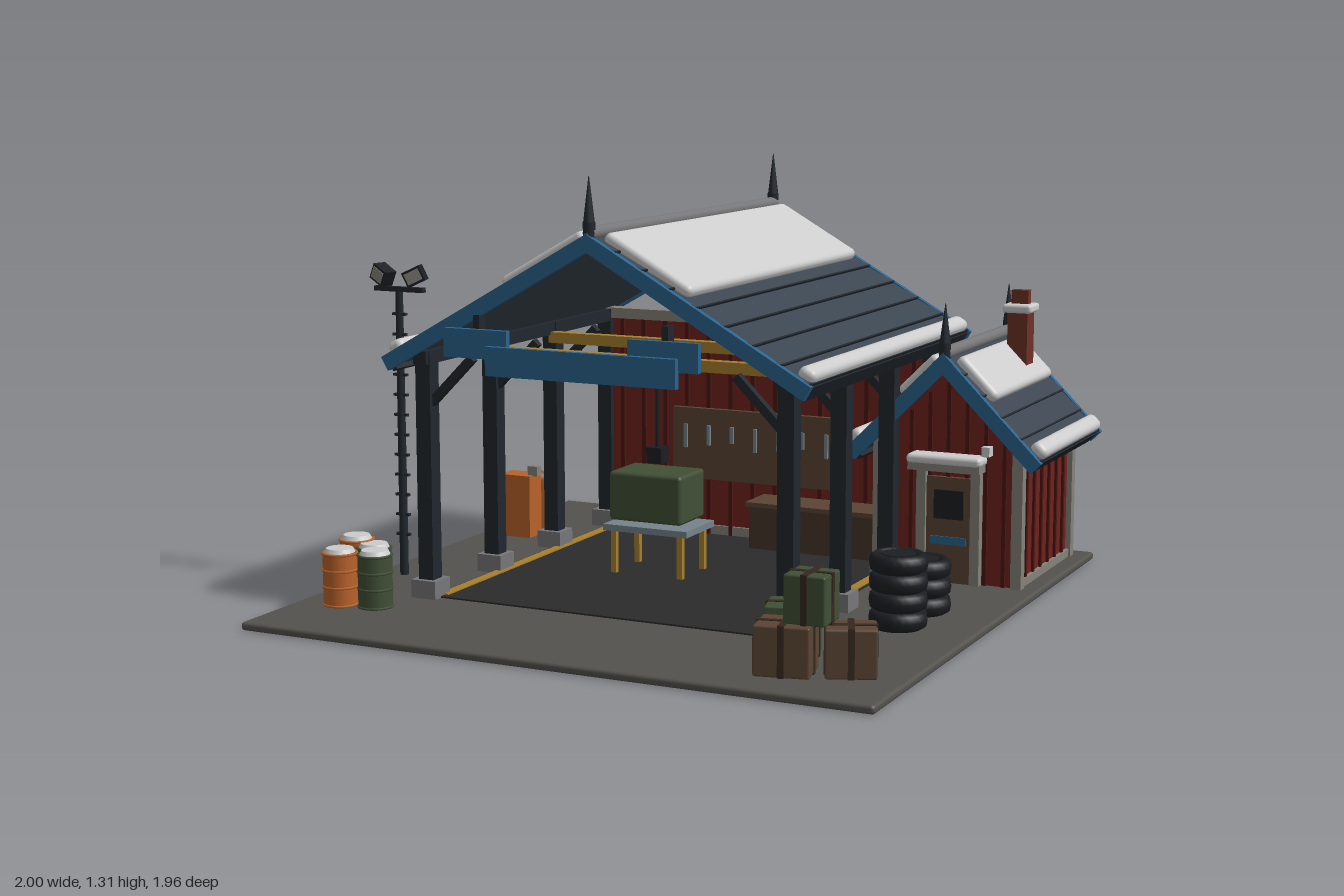
import * as THREE from 'three';
import { RoundedBoxGeometry } from 'three/addons/geometries/RoundedBoxGeometry.js';

const cache = {};
const mat = (c) => (cache[c] ??= new THREE.MeshStandardMaterial({ color: c, side: THREE.DoubleSide }));
const C = {
  snow: 0xcccccc, red: 0x6e211c, roof: 0x3c4650, blue: 0x2b648f, ground: 0x54524d, floor: 0x2b2b2c,
  orange: 0xb9622a, green: 0x414f36, brown: 0x5a4433, yellow: 0xa8802c, trim: 0x85827a, dark: 0x20272d,
  black: 0x1b1e22, brick: 0x6e3228, stone: 0x77777a, steel: 0x75838c,
};

function add(parent, name, geo, color, x = 0, y = 0, z = 0, ry = 0, rz = 0) {
  const m = new THREE.Mesh(geo, mat(color));
  m.name = name;
  m.position.set(x, y, z);
  m.rotation.set(0, ry, rz);
  parent.add(m);
  return m;
}
const group = (parent, name, x = 0, y = 0, z = 0) => {
  const g = new THREE.Group();
  g.name = name;
  g.position.set(x, y, z);
  parent.add(g);
  return g;
};
// Box given by its minimum and maximum corners
const span = (p, name, c, x0, x1, y0, y1, z0, z1) =>
  add(p, name, new THREE.BoxGeometry(x1 - x0, y1 - y0, z1 - z0), c, (x0 + x1) / 2, (y0 + y1) / 2, (z0 + z1) / 2);
const cyl = (p, name, c, r0, r1, h, x, y, z, n = 16) =>
  add(p, name, new THREE.CylinderGeometry(r1, r0, h, n), c, x, y + h / 2, z);
// Square bar between two points in a plane of constant z
const bar = (p, name, c, x0, y0, x1, y1, z, t, d = t) =>
  add(p, name, new THREE.BoxGeometry(Math.hypot(x1 - x0, y1 - y0), t, d), c,
    (x0 + x1) / 2, (y0 + y1) / 2, z, 0, Math.atan2(y1 - y0, x1 - x0));

// Pitched roof with laps, snow, barge boards, ridge and finials
function roof(parent, name, cx, ridge, half, drop, z0, z1, laps, snowEnd, finialH) {
  const g = group(parent, name, cx, ridge, (z0 + z1) / 2);
  const L = Math.hypot(half, drop), W = z1 - z0, a = Math.atan2(drop, half);
  for (const s of [1, -1]) {
    const side = group(g, s > 0 ? 'leftSlope' : 'rightSlope');
    side.rotation.set(0, s > 0 ? 0 : Math.PI, -a);
    span(side, 'roofDeck', C.roof, 0, L, -0.03, -0.005, -W / 2 + 0.015, W / 2 - 0.015);
    for (let i = 0; i < laps; i++) {
      const lap = add(side, 'roofLap', new THREE.BoxGeometry(L / laps, 0.012, W - 0.03), C.roof,
        (i + 0.5) * L / laps, -0.001, 0, 0, 0.06);
      lap.name = 'roofLap' + i;
      span(side, 'lapSeam', C.dark, (i + 0.94) * L / laps, (i + 1) * L / laps, -0.008, 0.009, -W / 2 + 0.015, W / 2 - 0.015);
    }
    const s0 = 0.03, s1 = snowEnd;
    add(side, 'snowBlanket', new RoundedBoxGeometry(s1 - s0, 0.04, W - 0.09, 3, 0.018), C.snow, (s0 + s1) / 2, 0.015, 0);
    add(side, 'eaveSnow', new RoundedBoxGeometry(0.055, 0.045, W - 0.06, 3, 0.02), C.snow, L - 0.03, 0.015, 0);
    for (const e of [-1, 1])
      add(side, 'bargeBoard', new THREE.BoxGeometry(L + 0.015, 0.045, 0.02), C.blue, L / 2, -0.016, e * (W / 2 - 0.01));
    span(side, 'eaveBoard', C.dark, L - 0.012, L + 0.004, -0.045, 0, -W / 2 + 0.02, W / 2 - 0.02);
  }
  const cap = add(g, 'ridgeCap', new THREE.CylinderGeometry(0.02, 0.02, W - 0.04, 12), C.stone, 0, 0.008, 0);
  cap.rotation.x = Math.PI / 2;
  for (const e of [-1, 1]) {
    cyl(g, 'finialBase', C.dark, 0.018, 0.018, 0.05, 0, -0.01, e * (W / 2 - 0.022), 10);
    cyl(g, 'finialSpike', C.dark, 0.018, 0.001, finialH, 0, 0.03, e * (W / 2 - 0.022), 10);
  }
}

function workshop(root) {
  const g = group(root, 'workshop');
  span(g, 'workshopFloor', C.floor, -0.66, 0.47, 0.02, 0.03, -0.68, 0.48);
  for (const x of [-0.635, 0.45]) span(g, 'floorStripe', C.yellow, x - 0.015, x + 0.015, 0.025, 0.034, -0.66, 0.46);
  for (const x of [-0.675, 0.5]) {
    for (const z of [0.47, 0.085, -0.3, -0.68]) {
      span(g, 'post', C.dark, x - 0.025, x + 0.025, 0.03, 0.775, z - 0.025, z + 0.025);
      span(g, 'postFoot', C.stone, x - 0.042, x + 0.042, 0.02, 0.08, z - 0.042, z + 0.042);
      const s = x < 0 ? 1 : -1;
      if (z > -0.6) bar(g, 'kneeBrace', C.dark, x, 0.6, x + s * 0.16, 0.76, z, 0.025);
    }
    span(g, 'wallPlate', C.dark, x - 0.022, x + 0.022, 0.735, 0.775, -0.72, 0.51);
  }
  // Back wall
  span(g, 'backWall', C.red, -0.65, 0.475, 0.03, 0.75, -0.7, -0.675);
  for (let i = 0; i < 14; i++) {
    const x = -0.61 + i * 0.081;
    span(g, 'wallBatten', 0x4a1613, x - 0.007, x + 0.007, 0.03, 0.75, -0.68, -0.664);
  }
  span(g, 'wallTopRail', C.trim, -0.7, 0.52, 0.745, 0.78, -0.712, -0.66);
  span(g, 'wallBottomRail', C.trim, -0.66, 0.48, 0.03, 0.06, -0.712, -0.665);
  for (const x of [-0.675, 0.495]) span(g, 'wallEndTrim', C.trim, x - 0.027, x + 0.027, 0.03, 0.75, -0.72, -0.705);
  // Crane beams, trolley and hook
  for (const z of [0.12, -0.26]) span(g, 'craneBeam', C.yellow, -0.66, 0.49, 0.71, 0.745, z - 0.017, z + 0.017);
  span(g, 'craneTrolley', C.orange, -0.25, -0.15, 0.665, 0.71, -0.28, 0.14);
  cyl(g, 'hoistCable', C.black, 0.006, 0.006, 0.26, -0.2, 0.41, -0.11, 8);
  span(g, 'hookBlock', C.black, -0.226, -0.174, 0.375, 0.425, -0.135, -0.085);
  // Engine on its table
  add(g, 'engineBlock', new RoundedBoxGeometry(0.25, 0.155, 0.175, 2, 0.012), C.green, -0.2, 0.275, -0.107);
  span(g, 'tableTop', C.steel, -0.34, -0.05, 0.165, 0.185, -0.21, -0.01);
  for (const x of [-0.31, -0.08]) for (const z of [-0.19, -0.03])
    span(g, 'tableLeg', C.yellow, x - 0.009, x + 0.009, 0.03, 0.165, z - 0.009, z + 0.009);
  // Tool board and bench
  span(g, 'toolBoard', C.brown, -0.41, 0.23, 0.22, 0.46, -0.665, -0.645);
  for (let i = 0; i < 8; i++)
    span(g, 'hangingTool', C.steel, -0.365 + i * 0.085, -0.353 + i * 0.085, 0.325 + (i % 3) * 0.012, 0.405, -0.648, -0.636);
  span(g, 'workbench', 0x46352a, -0.07, 0.37, 0.03, 0.17, -0.65, -0.52);
  span(g, 'benchTop', C.brown, -0.08, 0.38, 0.17, 0.185, -0.66, -0.51);
  // Blank sign boards
  span(g, 'signBoard', C.blue, -0.4, 0.21, 0.73, 0.815, 0.575, 0.595);
  span(g, 'signWing', C.blue, -0.55, -0.34, 0.775, 0.86, 0.555, 0.575);
  span(g, 'signWing', C.blue, 0.05, 0.27, 0.775, 0.86, 0.555, 0.575);
  for (const x of [-0.45, 0.16]) span(g, 'signBracket', C.dark, x - 0.01, x + 0.01, 0.775, 0.9, 0.52, 0.557);
  roof(g, 'workshopRoof', -0.09, 1.14, 0.68, 0.385, -0.77, 0.555, 8, 0.34, 0.14);
}

function shed(root) {
  const g = group(root, 'shed');
  const cx = 0.675;
  // Gabled body
  const outline = new THREE.Shape([[-0.225, 0.03], [0.225, 0.03], [0.225, 0.475], [0, 0.7], [-0.225, 0.475]]
    .map(([x, y]) => new THREE.Vector2(x, y)));
  add(g, 'shedWalls', new THREE.ExtrudeGeometry(outline, { depth: 0.51, bevelEnabled: false }), C.red, cx, 0, -0.87);
  for (const z of [-0.358, -0.872]) {
    for (let i = -3; i <= 3; i++) {
      const x = cx + i * 0.06, top = 0.68 - Math.abs(i) * 0.06;
      span(g, 'gableBatten', 0x4a1613, x - 0.006, x + 0.006, 0.03, top, z - 0.006, z + 0.006);
    }
    for (const s of [-1, 1])
      span(g, 'cornerTrim', C.trim, cx + s * 0.225 - 0.017, cx + s * 0.225 + 0.017, 0.03, 0.47, z - 0.017, z + 0.017);
  }
  span(g, 'rearTieTrim', C.trim, cx - 0.23, cx + 0.23, 0.44, 0.465, -0.885, -0.868);
  for (const s of [-1, 1]) {
    const x = cx + s * 0.225;
    for (let i = 0; i < 6; i++) {
      const z = -0.8 + i * 0.075;
      span(g, 'sideBatten', 0x4a1613, x - 0.008, x + 0.008, 0.03, 0.46, z - 0.006, z + 0.006);
    }
    span(g, 'sillTrim', C.trim, x - 0.011, x + 0.011, 0.03, 0.055, -0.87, -0.36);
  }
  // Door, its frame and small canopy
  span(g, 'door', C.brown, 0.605, 0.76, 0.03, 0.36, -0.365, -0.342);
  span(g, 'doorWindow', C.black, 0.635, 0.73, 0.23, 0.32, -0.345, -0.338);
  span(g, 'doorPanel', C.blue, 0.625, 0.74, 0.15, 0.175, -0.345, -0.337);
  for (const x of [0.595, 0.77]) span(g, 'doorJamb', C.trim, x - 0.015, x + 0.015, 0.03, 0.39, -0.365, -0.33);
  span(g, 'doorCanopy', C.trim, 0.565, 0.795, 0.385, 0.41, -0.365, -0.29);
  add(g, 'canopySnow', new RoundedBoxGeometry(0.24, 0.03, 0.08, 2, 0.013), C.snow, 0.68, 0.42, -0.325);
  span(g, 'doorLamp', C.snow, 0.79, 0.815, 0.435, 0.465, -0.36, -0.325);
  roof(g, 'shedRoof', cx, 0.74, 0.305, 0.305, -0.935, -0.285, 5, 0.2, 0.13);
  // Chimney
  span(g, 'chimneyStack', C.brick, 0.735, 0.8, 0.6, 0.84, -0.79, -0.72);
  add(g, 'chimneyCap', new RoundedBoxGeometry(0.095, 0.028, 0.095, 2, 0.01), C.snow, 0.767, 0.843, -0.755);
  span(g, 'chimneyTop', C.brick, 0.74, 0.795, 0.855, 0.9, -0.77, -0.74);
}

function yard(root) {
  const g = group(root, 'yard');
  // Light mast
  const m = group(g, 'lightMast', -0.9, 0, 0.265);
  cyl(m, 'mastPole', C.dark, 0.014, 0.012, 0.9, 0, 0.025, 0, 10);
  for (let i = 0; i < 12; i++) span(m, 'mastRung', C.dark, -0.024, 0.024, 0.15 + i * 0.063, 0.158 + i * 0.063, -0.006, 0.006);
  span(m, 'mastCrossbar', C.dark, -0.085, 0.09, 0.917, 0.932, -0.01, 0.01);
  for (const s of [-1, 1]) {
    const lamp = add(m, 'floodlight', new THREE.BoxGeometry(0.06, 0.05, 0.045), C.black, s * 0.058, 0.967, 0, s * 0.3, s * 0.45);
    span(lamp, 'lampLens', C.trim, -0.024, 0.024, -0.018, 0.018, 0.02, 0.025);
  }
  // Barrels
  for (const [x, z, c, h] of [[-0.88, 0.555, C.orange, 0.175], [-0.805, 0.575, C.green, 0.16],
    [-0.86, 0.675, C.orange, 0.16], [-0.75, 0.655, C.green, 0.16]]) {
    const b = group(g, 'barrel', x, 0.025, z);
    cyl(b, 'barrelBody', c, 0.051, 0.051, h, 0, 0, 0, 20);
    for (const t of [0.02, 0.36, 0.67, 0.98]) {
      const hoop = add(b, 'barrelHoop', new THREE.TorusGeometry(0.051, 0.004, 6, 20), c, 0, t * h, 0);
      hoop.rotation.x = Math.PI / 2;
    }
    cyl(b, 'barrelSnow', C.snow, 0.046, 0.04, 0.012, 0, h, 0, 20);
  }
  // Fuel cabinet and gas bottle
  span(g, 'fuelCabinet', C.orange, -0.917, -0.805, 0.025, 0.235, -0.44, -0.36);
  span(g, 'cabinetGauge', C.trim, -0.825, -0.79, 0.232, 0.265, -0.415, -0.385);
  cyl(g, 'gasBottle', 0x8a4a28, 0.035, 0.035, 0.17, -0.86, 0.025, -0.51);
  add(g, 'bottleShoulder', new THREE.SphereGeometry(0.035, 16, 8, 0, Math.PI * 2, 0, Math.PI / 2), 0x8a4a28, -0.86, 0.195, -0.51);
  // Tyre stacks
  const tyre = new THREE.LatheGeometry([[0.04, 0.006], [0.07, 0], [0.082, 0.008], [0.085, 0.027], [0.082, 0.046],
    [0.07, 0.054], [0.04, 0.048], [0.04, 0.006]].map(([r, y]) => new THREE.Vector2(r, y)), 24);
  for (const [z, n] of [[0.21, 4], [0.012, 3]]) {
    for (let i = 0; i < n; i++) add(g, 'tyre', tyre, C.black, 0.73, 0.025 + i * 0.055, z);
    cyl(g, 'tyreCover', C.black, 0.05, 0.05, 0.01, 0.73, 0.012 + n * 0.055, z);
  }
  // Crates with straps
  for (const [x, y, z, w, h, d, ry, c] of [[0.58, 0.025, 0.62, 0.145, 0.15, 0.125, 0.28, C.green],
    [0.63, 0.025, 0.785, 0.155, 0.14, 0.13, 0.2, C.brown], [0.795, 0.025, 0.73, 0.14, 0.135, 0.115, 0.4, C.brown],
    [0.692, 0.165, 0.757, 0.12, 0.135, 0.115, 0.03, C.green]]) {
    const b = group(g, 'crate', x, y + h / 2, z);
    b.rotation.y = ry;
    add(b, 'crateBody', new RoundedBoxGeometry(w, h, d, 1, 0.006), c);
    add(b, 'crateStrap', new THREE.BoxGeometry(0.018, h + 0.005, d + 0.006), 0x35291f);
    add(b, 'crateBand', new THREE.BoxGeometry(w + 0.004, h + 0.004, 0.018), 0x35291f);
  }
}

export function createModel() {
  const root = new THREE.Group();
  root.name = 'repairYard';
  add(root, 'groundSlab', new RoundedBoxGeometry(1.96, 0.025, 1.96, 2, 0.01), C.ground, -0.02, 0.0125, 0);
  workshop(root);
  shed(root);
  yard(root);
  return root;
}
